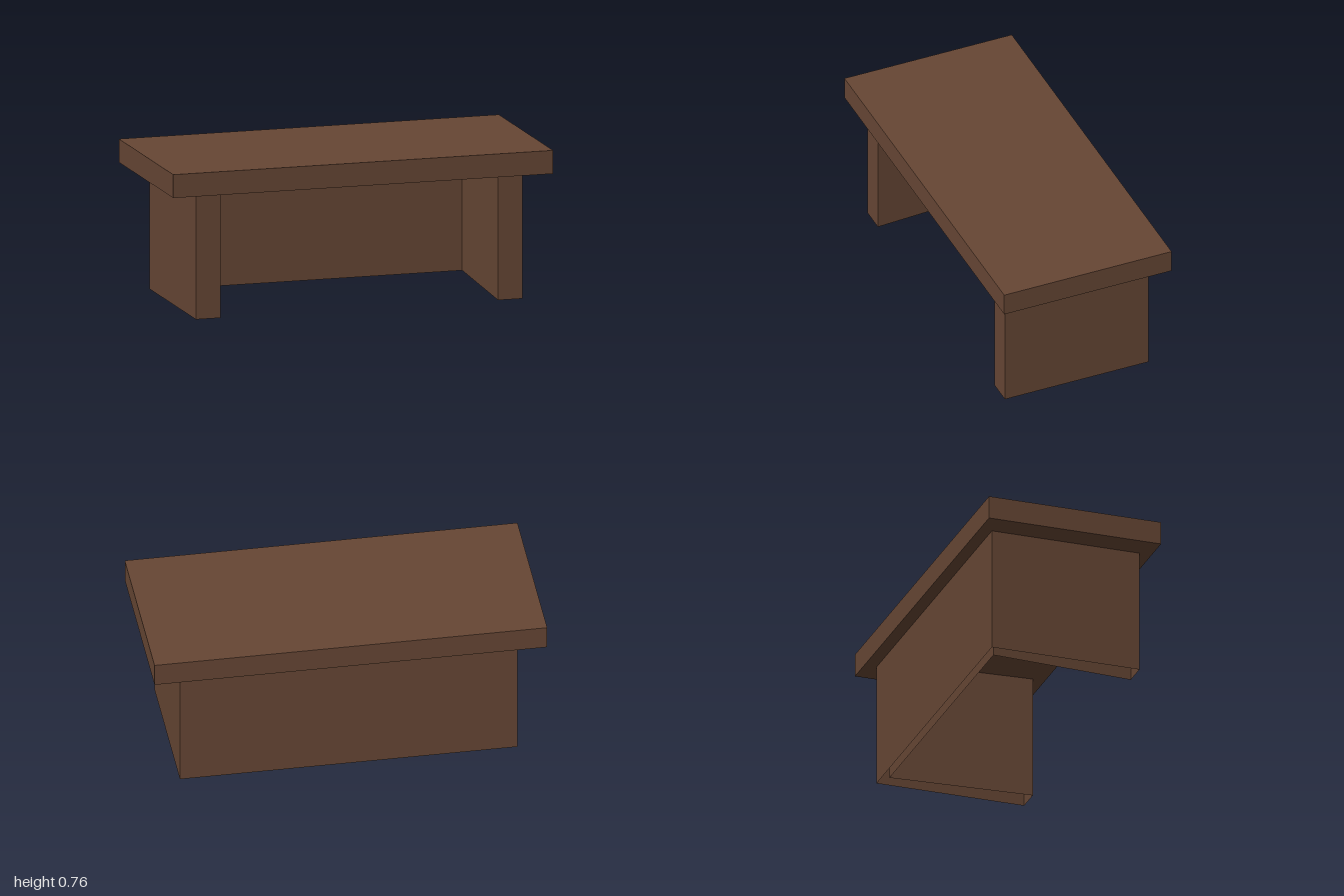
import * as THREE from 'three';

const TOP_Y = 0.765, BASE_Y = 0.645;

export function createModel() {
  const group = new THREE.Group();
  const wood = new THREE.MeshStandardMaterial({ color: 0x664634, side: THREE.DoubleSide });
  wood.name = 'dark brown wood';

  // Thick overhanging slab
  const top = new THREE.Mesh(new THREE.BoxGeometry(2, TOP_Y - BASE_Y, 0.918), wood);
  top.name = 'tableTop';
  top.position.y = (TOP_Y + BASE_Y) / 2;
  group.add(top);

  // U-shaped hollow base, open underneath; inner leg faces splay toward the back.
  // Each entry: panel name and the [x, z] point where the panel starts.
  const outline = [
    ['rightLegFront', -0.86, 0.394],
    ['rightLegInner', -0.73, 0.394],
    ['backPanelInner', -0.775, -0.355],
    ['leftLegInner', 0.775, -0.355],
    ['leftLegFront', 0.73, 0.394],
    ['leftLegOuter', 0.86, 0.394],
    ['backPanelOuter', 0.86, -0.394],
    ['rightLegOuter', -0.86, -0.394],
  ];
  const base = new THREE.Group();
  base.name = 'base';
  outline.forEach(([name, x, z], i) => {
    const [, nx, nz] = outline[(i + 1) % outline.length];
    const panel = new THREE.Mesh(
      new THREE.PlaneGeometry(Math.hypot(nx - x, nz - z), BASE_Y), wood);
    panel.name = name;
    panel.position.set((x + nx) / 2, BASE_Y / 2, (z + nz) / 2);
    panel.rotation.y = Math.atan2(z - nz, nx - x);
    base.add(panel);
  });
  group.add(base);

  return group;
}
